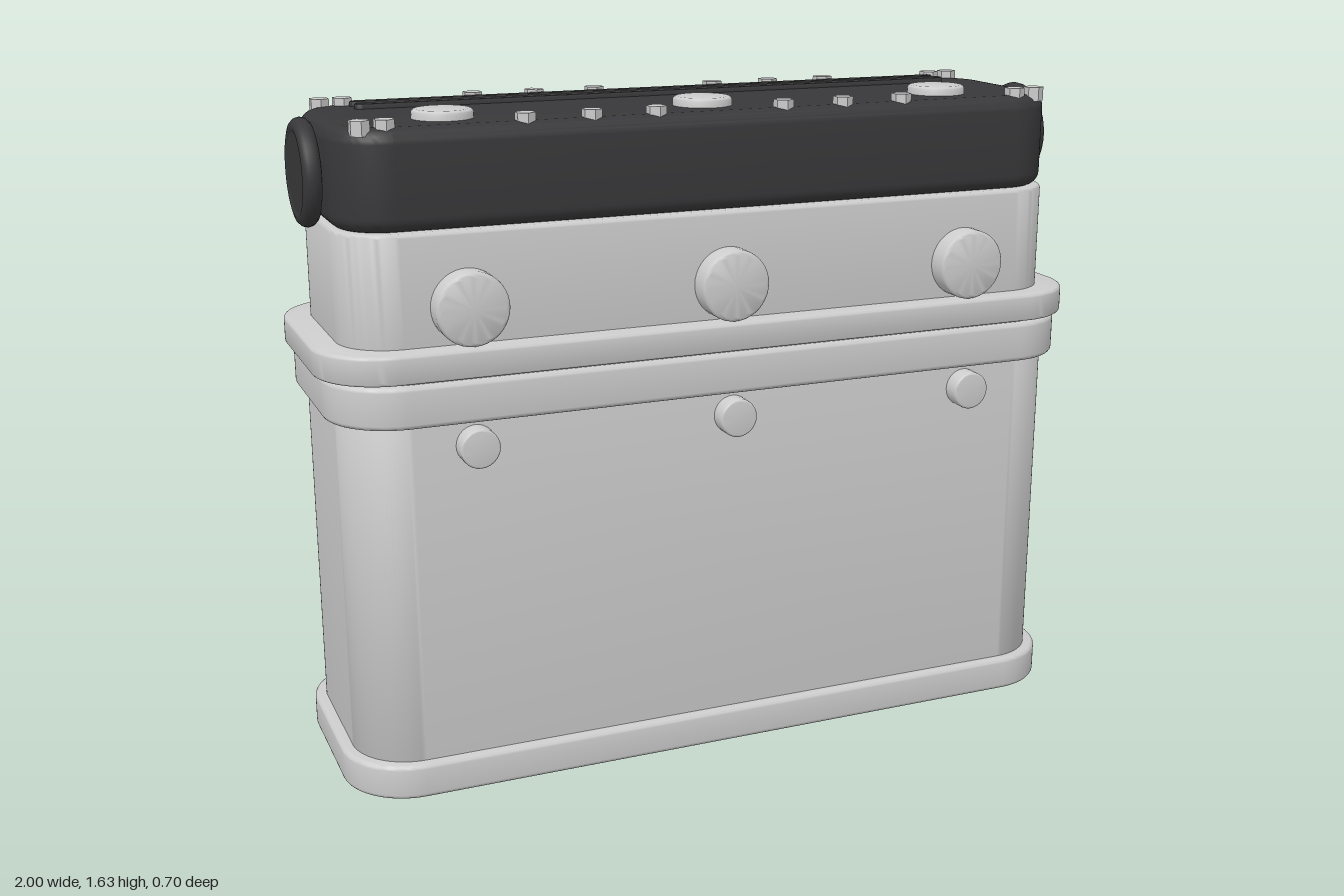
import * as THREE from 'three';
import { toCreasedNormals } from 'three/addons/utils/BufferGeometryUtils.js';

const grey = new THREE.MeshStandardMaterial({ color: 0xcccccc });
const dark = new THREE.MeshStandardMaterial({ color: 0x38383a });
const CZ = 0.005; // depth centre of the block

// Rounded-rectangle outline
function outline(hx, hz, r) {
  const s = new THREE.Shape();
  s.absarc(hx - r, hz - r, r, 0, Math.PI / 2);
  s.absarc(-hx + r, hz - r, r, Math.PI / 2, Math.PI);
  s.absarc(-hx + r, -hz + r, r, Math.PI, Math.PI * 1.5);
  s.absarc(hx - r, -hz + r, r, Math.PI * 1.5, Math.PI * 2);
  s.closePath();
  return s;
}

// Upright slab with rounded plan corners and softened top and bottom edges
function slab(hx, hz, r, y0, y1, bevel, segments = 4) {
  const geo = new THREE.ExtrudeGeometry(outline(hx, hz, r), {
    depth: y1 - y0 - 2 * bevel, curveSegments: 10,
    bevelEnabled: true, bevelThickness: bevel, bevelSize: bevel, bevelOffset: -bevel, bevelSegments: segments,
  });
  geo.rotateX(-Math.PI / 2);
  geo.translate(0, y0 + bevel, 0);
  return toCreasedNormals(geo, 0.6);
}

// Disc along +y with a rounded outer rim
function disc(radius, height, round, sides = 40) {
  const pts = [new THREE.Vector2(0, 0), new THREE.Vector2(radius, 0)];
  for (let i = 0; i <= 4; i++) {
    const a = (i / 4) * Math.PI / 2;
    pts.push(new THREE.Vector2(radius - round + round * Math.cos(a), height - round + round * Math.sin(a)));
  }
  pts.push(new THREE.Vector2(0, height));
  return toCreasedNormals(new THREE.LatheGeometry(pts, sides), 0.6);
}

export function createModel() {
  const model = new THREE.Group();
  model.name = 'engineBlock';
  const add = (name, geo, x, y, z, mat = grey) => {
    const mesh = new THREE.Mesh(geo, mat);
    mesh.name = name;
    mesh.position.set(x, y, z);
    model.add(mesh);
    return mesh;
  };

  // Stacked castings
  add('baseFlange', slab(0.978, 0.325, 0.17, 0, 0.088, 0.012), 0, 0, CZ);
  add('crankcase', slab(0.95, 0.3, 0.15, 0.04, 0.98, 0.005), 0, 0, CZ);
  add('crankcaseTopFlange', slab(0.978, 0.325, 0.17, 0.93, 1.032, 0.012), 0, 0, CZ);
  add('gasket', slab(0.955, 0.305, 0.16, 1.02, 1.045, 0.003), 0, 0, CZ);
  add('headFlange', slab(0.998, 0.325, 0.17, 1.036, 1.107, 0.01), 0, 0, CZ);
  add('cylinderHead', slab(0.935, 0.27, 0.13, 1.08, 1.372, 0.01), 0, 0, CZ);
  add('valveCover', slab(0.935, 0.26, 0.13, 1.37, 1.607, 0.035, 6), 0, 0, CZ, dark);

  // Ports, plugs and filler caps, one set per cylinder
  const port = disc(0.088, 0.085, 0.012);
  const backPort = disc(0.115, 0.085, 0.012);
  const plug = disc(0.048, 0.05, 0.006, 28);
  const cap = disc(0.073, 0.035, 0.01);
  for (const x of [-0.652, 0, 0.652]) {
    add('frontPort', port, x, 1.197, 0.245).rotation.x = Math.PI / 2;
    add('backPort', backPort, x, 1.14, -0.235).rotation.x = -Math.PI / 2;
    add('sidePlug', plug, x, 0.872, 0.3).rotation.x = Math.PI / 2;
    add('fillerCap', cap, x, 1.594, 0.11);
  }

  // Round covers with bulged rims on both ends
  for (const side of [-1, 1]) {
    const end = new THREE.Group();
    end.name = side > 0 ? 'leftEndCover' : 'rightEndCover';
    const rim = new THREE.Mesh(new THREE.TorusGeometry(0.105, 0.023, 12, 48), dark);
    rim.name = 'endCoverRim';
    const plate = new THREE.Mesh(new THREE.CylinderGeometry(0.107, 0.107, 0.04, 48), dark);
    plate.name = 'endCoverPlate';
    plate.rotation.x = Math.PI / 2;
    end.add(rim, plate);
    end.rotation.y = side * Math.PI / 2;
    end.position.set(side * 0.96, 1.483, CZ);
    model.add(end);
  }

  // Hex bolts along both edges of the cover
  const bolt = new THREE.CylinderGeometry(0.025, 0.025, 0.035, 6).toNonIndexed();
  bolt.computeVertexNormals();
  for (const x of [0.165, 0.326, 0.488, 0.816, 0.872])
    for (const sx of [-1, 1])
      for (const sz of [-1, 1]) add('coverBolt', bolt, sx * x, 1.608, CZ + sz * 0.22);

  // Raised rails on the cover
  add('coverRail', slab(0.805, 0.017, 0.016, 1.595, 1.62, 0.004, 2), 0, 0, -0.128, dark);
  add('thinCoverRail', slab(0.805, 0.013, 0.012, 1.595, 1.62, 0.004, 2), 0, 0, -0.182, dark);

  // Vertical channel with sloped sides on the back
  const rib = new THREE.Shape();
  [[0.21, 0.28], [0.21, 0.322], [0.245, 0.346], [0.405, 0.346], [0.44, 0.322], [0.44, 0.28]]
    .forEach(([x, z], i) => (i ? rib.lineTo(x, z) : rib.moveTo(x, z)));
  rib.closePath();
  const ribGeo = new THREE.ExtrudeGeometry(rib, {
    depth: 0.945, bevelEnabled: true, bevelThickness: 0.01, bevelSize: 0.008, bevelOffset: -0.008, bevelSegments: 2,
  });
  ribGeo.rotateX(-Math.PI / 2);
  add('backChannel', toCreasedNormals(ribGeo, 0.5), 0, 0.065, 0);

  return model;
}
